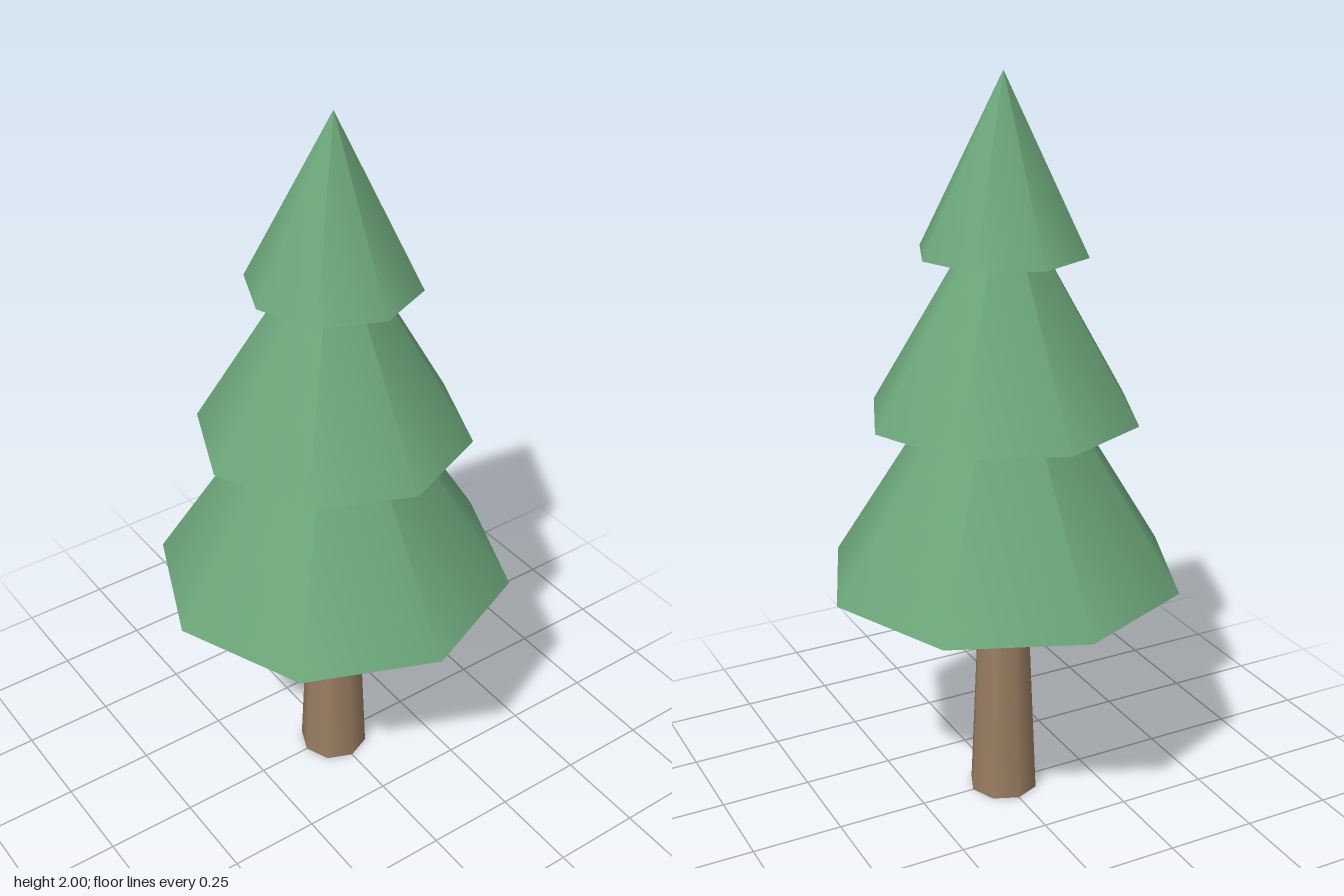
import * as THREE from 'three';

export function createModel() {
  const tree = new THREE.Group();
  tree.name = 'pineTree';

  const foliage = new THREE.MeshStandardMaterial({ color: 0x6ca67a });
  foliage.name = 'foliage green';
  const bark = new THREE.MeshStandardMaterial({ color: 0x997d62 });
  bark.name = 'bark brown';

  const SIDES = 8;

  // Tapered trunk, its top tucked just inside the lowest tier
  const trunkHeight = 0.68;
  const trunk = new THREE.Mesh(
    new THREE.CylinderGeometry(0.066, 0.096, trunkHeight, SIDES), bark);
  trunk.name = 'trunk';
  trunk.position.y = trunkHeight / 2;
  tree.add(trunk);

  // Overlapping cones of foliage, from the bottom up
  const tiers = [
    { name: 'lowerFoliage', radius: 0.485, base: 0.665, top: 1.44 },
    { name: 'middleFoliage', radius: 0.364, base: 1.12, top: 1.74 },
    { name: 'upperFoliage', radius: 0.225, base: 1.55, top: 2 },
  ];
  for (const { name, radius, base, top } of tiers) {
    const tier = new THREE.Mesh(
      new THREE.ConeGeometry(radius, top - base, SIDES), foliage);
    tier.name = name;
    tier.position.y = (base + top) / 2;
    tree.add(tier);
  }

  return tree;
}
